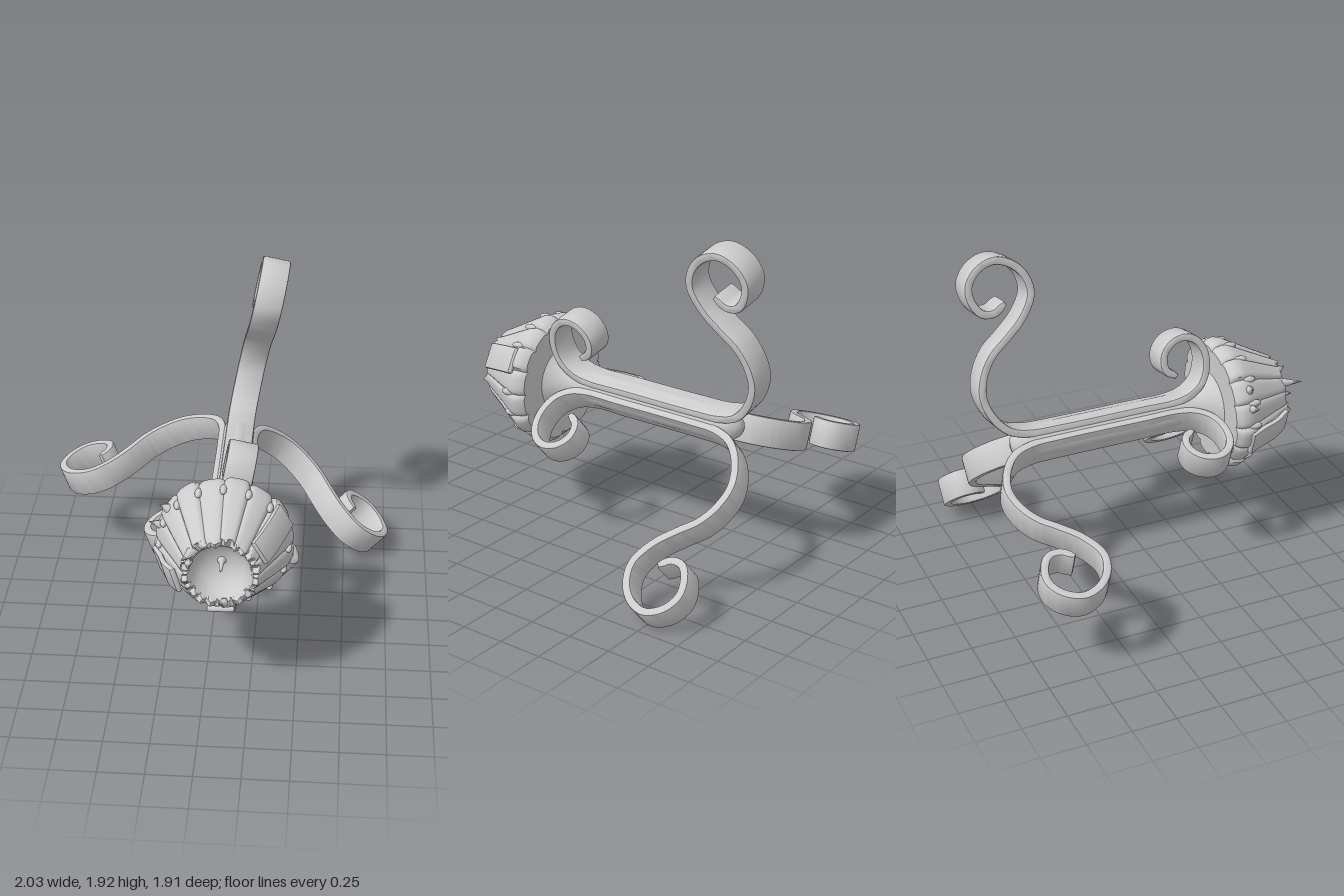
import * as THREE from 'three';
import { toCreasedNormals } from 'three/addons/utils/BufferGeometryUtils.js';

const mat = new THREE.MeshStandardMaterial({ color: 0xcccccc, side: THREE.DoubleSide });

// [position along the stem, distance from the axis]
const FOOT = [
  [-0.745, 0.84], [-0.80, 0.80], [-0.87, 0.805], [-0.92, 0.87], [-0.935, 0.96], [-0.885, 1.045],
  [-0.785, 1.09], [-0.68, 1.055], [-0.61, 0.975], [-0.588, 0.87], [-0.65, 0.745], [-0.75, 0.645],
  [-0.84, 0.565], [-0.90, 0.46], [-0.92, 0.34], [-0.875, 0.21], [-0.79, 0.115],
];
const STEM = [[-0.68, 0.078], [-0.5, 0.07], [0, 0.07], [0.2, 0.07]];
const CURL = [
  [0.31, 0.095], [0.385, 0.155], [0.42, 0.25], [0.41, 0.35], [0.36, 0.42], [0.29, 0.445],
  [0.21, 0.42], [0.16, 0.35], [0.17, 0.27], [0.225, 0.23],
];

// A flat bar bent along a path, with its ends rounded off
function bar(points, width, thick) {
  const curve = new THREE.CatmullRomCurve3(points.map(([z, r]) => new THREE.Vector3(z, r, 0)));
  const n = 150, bevel = 0.01, upper = [], lower = [];
  for (let i = 0; i <= n; i++) {
    const p = curve.getPointAt(i / n), t = curve.getTangentAt(i / n);
    const end = Math.min(i, n - i);
    const h = (thick / 2 - bevel) * (end === 0 ? 0.5 : 1);
    upper.push(new THREE.Vector2(p.x - t.y * h, p.y + t.x * h));
    lower.unshift(new THREE.Vector2(p.x + t.y * h, p.y - t.x * h));
  }
  const geo = new THREE.ExtrudeGeometry(new THREE.Shape([...upper, ...lower]), {
    depth: width - 2 * bevel, bevelEnabled: true, bevelSize: bevel, bevelThickness: bevel, bevelSegments: 2,
  });
  geo.translate(0, 0, -width / 2 + bevel);
  geo.rotateY(-Math.PI / 2);
  return toCreasedNormals(geo, 0.7);
}

function add(parent, geo, name) {
  const mesh = new THREE.Mesh(geo, mat);
  mesh.name = name;
  parent.add(mesh);
  return mesh;
}

// Surface turned around the z axis
function turned(profile, segments) {
  const geo = new THREE.LatheGeometry(profile.map(([r, z]) => new THREE.Vector2(r, z)), segments);
  return geo.rotateX(Math.PI / 2);
}

// Pleated cup with a ragged rim and a hollow for the candle
const PETALS = 16;
const lift = [0.3, 0.9, 0.2, 0.6, 0, 0.8, 0.4, 0.1, 0.7, 0.2, 1, 0.3, 0.9, 0.1, 0.6, 0.4];
const cupProfile = [
  [0, 0.46], [0.2, 0.46], [0.345, 0.46], [0.37, 0.485], [0.378, 0.525], [0.365, 0.565], [0.335, 0.62],
  [0.303, 0.68], [0.27, 0.74], [0.238, 0.80], [0.215, 0.845], [0.202, 0.875], [0.175, 0.875],
  [0.163, 0.84], [0.15, 0.80], [0.12, 0.755], [0.07, 0.73], [0, 0.72],
];
function cupGeometry() {
  const geo = turned(cupProfile, PETALS * 10);
  const pos = geo.attributes.position;
  const rows = cupProfile.length;
  for (let i = 0; i < pos.count; i++) {
    const row = i % rows;
    const x = pos.getX(i), y = pos.getY(i), z = pos.getZ(i);
    const a = Math.atan2(y, x);
    const u = ((a / (2 * Math.PI) + 1) % 1) * PETALS;
    const k = Math.floor(u + 1e-6) % PETALS, f = Math.max(0, u - Math.floor(u + 1e-6));
    const outer = row >= 2 && row <= 11;
    const groove = Math.pow(Math.abs(2 * f - 1), 6);
    const s = outer ? 1 + 0.045 * (lift[k] - 0.4) * (1 - groove) - 0.05 * groove : 1;
    const rim = row === 11 || row === 12
      ? -0.035 * lift[(k + 5) % PETALS] + 0.012 * Math.sin(23 * a) : 0;
    pos.setXYZ(i, x * s, y * s, z + rim);
  }
  geo.deleteAttribute('normal');
  geo.deleteAttribute('uv');
  return toCreasedNormals(geo, 0.6);
}

export function createModel() {
  const model = new THREE.Group();
  const body = new THREE.Group();
  body.name = 'candleHolder';
  body.position.set(0.095, 0.82, 0);
  model.add(body);

  // Three bent bars make the feet, the stem faces and the curls under the cup
  [[79, 0.985], [200, 1.03], [318.5, 1.05]].forEach(([deg, reach]) => {
    const foot = FOOT.map(([z, r]) => [z, r * reach]);
    const mesh = add(body, bar([...foot, ...STEM, ...CURL], 0.162, 0.046), 'scrollBar');
    mesh.rotation.z = THREE.MathUtils.degToRad(deg - 90);
  });

  // Solid middle of the stem, flaring into the cup
  add(body, turned([[0, -0.77], [0.05, -0.76], [0.085, -0.71], [0.098, -0.64], [0.098, 0.28],
    [0.11, 0.36], [0.15, 0.43], [0.2, 0.47]], 32), 'stemCore');

  add(body, cupGeometry(), 'cup');

  // Pin in the hollow
  add(body, turned([[0.028, 0.715], [0.014, 0.745], [0.01, 0.81], [0, 0.84]], 12), 'candlePin');

  // Drops on the pleats
  for (let i = 0; i < PETALS; i++) {
    const a = ((i + 0.02) / PETALS) * Math.PI * 2;
    const drop = add(body, new THREE.SphereGeometry(1, 12, 8), 'drop');
    drop.scale.set(0.02, 0.02, 0.042);
    drop.position.set(0.348 * Math.cos(a), 0.348 * Math.sin(a), 0.575);
  }

  // Raised petal flaps: [angle, tilt away from the cup]
  [[197, 0.12], [270, 0.1], [30, 0.06]].forEach(([deg, tilt]) => {
    const flap = add(body, bar([[0.55, 0.372], [0.64, 0.335], [0.74, 0.275 + tilt * 0.2],
      [0.82, 0.225 + tilt * 0.2]], 0.15, 0.03), 'petalFlap');
    flap.rotation.z = THREE.MathUtils.degToRad(deg - 90);
  });

  // Ragged spikes on the rim: [base, tip]
  const spikes = [
    [[-0.15, 0.12, 0.84], [-0.2, 0.13, 0.95], 0.03],
    [[-0.17, 0.06, 0.83], [-0.17, 0.05, 0.9], 0.028],
    [[0.02, -0.19, 0.83], [0.0, -0.17, 0.89], 0.03],
    [[0.12, -0.15, 0.83], [0.13, -0.13, 0.885], 0.03],
    [[-0.09, 0.17, 0.84], [-0.07, 0.18, 0.9], 0.03],
    [[-0.33, 0.1, 0.55], [-0.405, 0.13, 0.57], 0.03],
    [[-0.29, 0.2, 0.55], [-0.345, 0.235, 0.56], 0.035],
  ];
  spikes.forEach(([base, tip, r]) => {
    const a = new THREE.Vector3(...base), b = new THREE.Vector3(...tip);
    const dir = b.clone().sub(a);
    const spike = add(body, new THREE.ConeGeometry(r, dir.length(), 7), 'rimSpike');
    spike.position.copy(a).add(b).multiplyScalar(0.5);
    spike.quaternion.setFromUnitVectors(new THREE.Vector3(0, 1, 0), dir.normalize());
  });

  return model;
}
